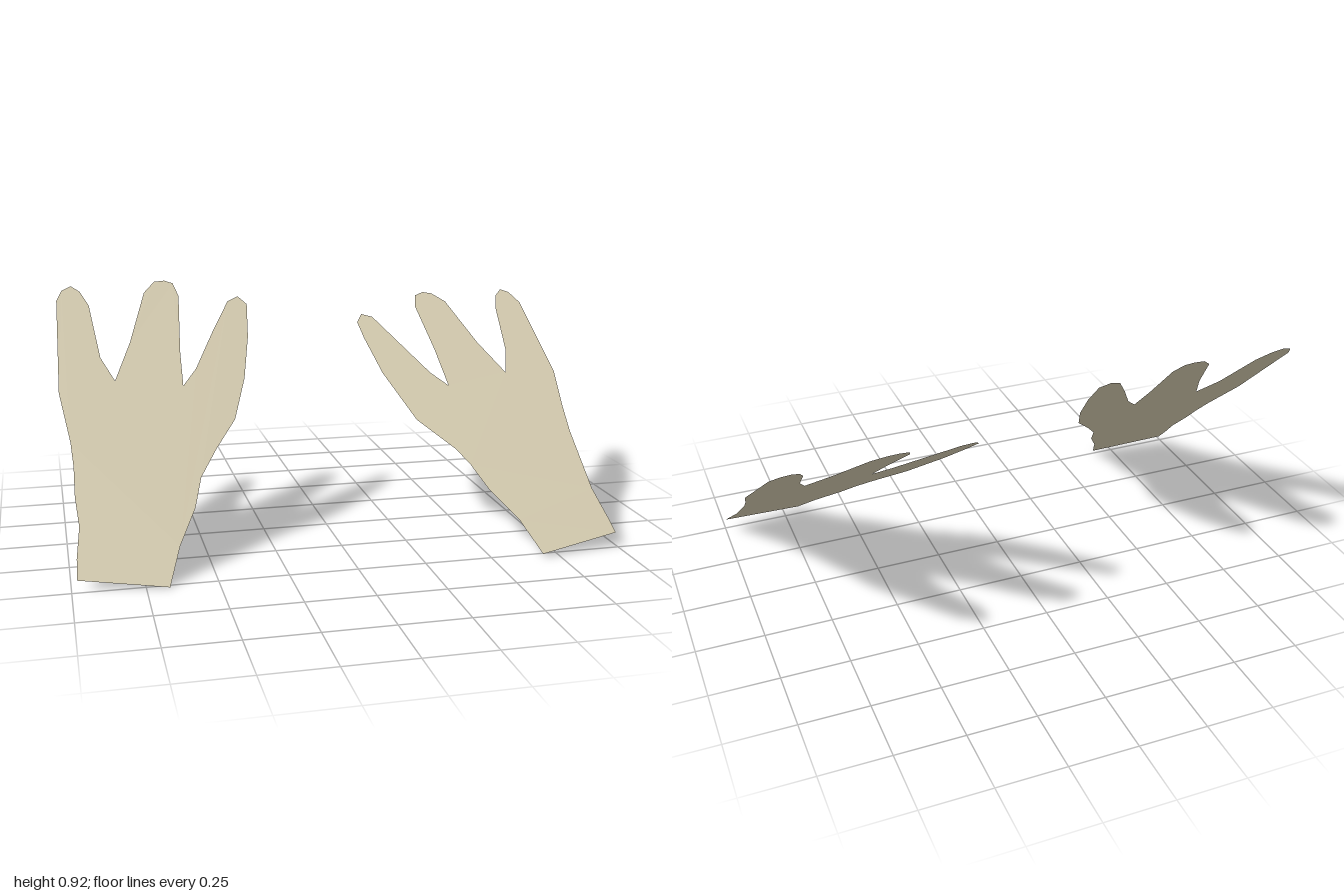
import * as THREE from 'three';

// Front outlines as x, y pairs: wrist first, then around the fingers
const RIGHT = [
  -0.98, 0.04, -0.67, 0.005, -0.62, 0.11, -0.55, 0.21, -0.515, 0.295, -0.445, 0.375, -0.36, 0.46,
  -0.30, 0.585, -0.26, 0.72, -0.243, 0.83, -0.275, 0.858, -0.318, 0.842, -0.393, 0.745, -0.48, 0.623,
  -0.537, 0.57, -0.532, 0.68, -0.51, 0.865, -0.527, 0.91, -0.56, 0.92, -0.60, 0.917, -0.645, 0.88,
  -0.72, 0.715, -0.79, 0.595, -0.837, 0.67, -0.864, 0.842, -0.895, 0.89, -0.928, 0.91, -0.965, 0.895,
  -0.987, 0.86, -1.0, 0.565, -0.97, 0.415, -0.965, 0.345, -0.968, 0.26, -0.96, 0.18, -0.976, 0.095,
];
const LEFT = [
  0.687, 0.016, 0.997, 0.056, 0.99, 0.095, 0.97, 0.18, 0.97, 0.35, 0.98, 0.43, 1.0, 0.537,
  0.965, 0.778, 0.933, 0.815, 0.90, 0.826, 0.87, 0.805, 0.848, 0.757, 0.826, 0.618, 0.79, 0.543,
  0.714, 0.645, 0.634, 0.79, 0.585, 0.82, 0.548, 0.826, 0.51, 0.815, 0.495, 0.778, 0.521, 0.628,
  0.532, 0.51, 0.473, 0.553, 0.297, 0.746, 0.254, 0.757, 0.227, 0.73, 0.238, 0.676, 0.275, 0.56,
  0.36, 0.41, 0.48, 0.318, 0.52, 0.27, 0.56, 0.20, 0.64, 0.11,
];

// Flat sheet cut to the outline, laid on the plane z = a + b x + c y
function hand(name, outline, a, b, c, material) {
  const points = [];
  for (let i = 0; i < outline.length; i += 2) points.push(new THREE.Vector2(outline[i], outline[i + 1]));
  const geometry = new THREE.ShapeGeometry(new THREE.Shape(points));
  const p = geometry.attributes.position;
  for (let i = 0; i < p.count; i++) p.setZ(i, a + b * p.getX(i) + c * p.getY(i));
  geometry.computeVertexNormals();
  const mesh = new THREE.Mesh(geometry, material);
  mesh.name = name;
  return mesh;
}

export function createModel() {
  const group = new THREE.Group();
  group.name = 'pairOfHands';
  const skin = new THREE.MeshStandardMaterial({ color: 0xd5ccb0, side: THREE.DoubleSide });
  group.add(hand('rightHand', RIGHT, 0.541, 0.024, -1.082, skin));
  group.add(hand('leftHand', LEFT, 0.556, 0, -1.325, skin));
  return group;
}
